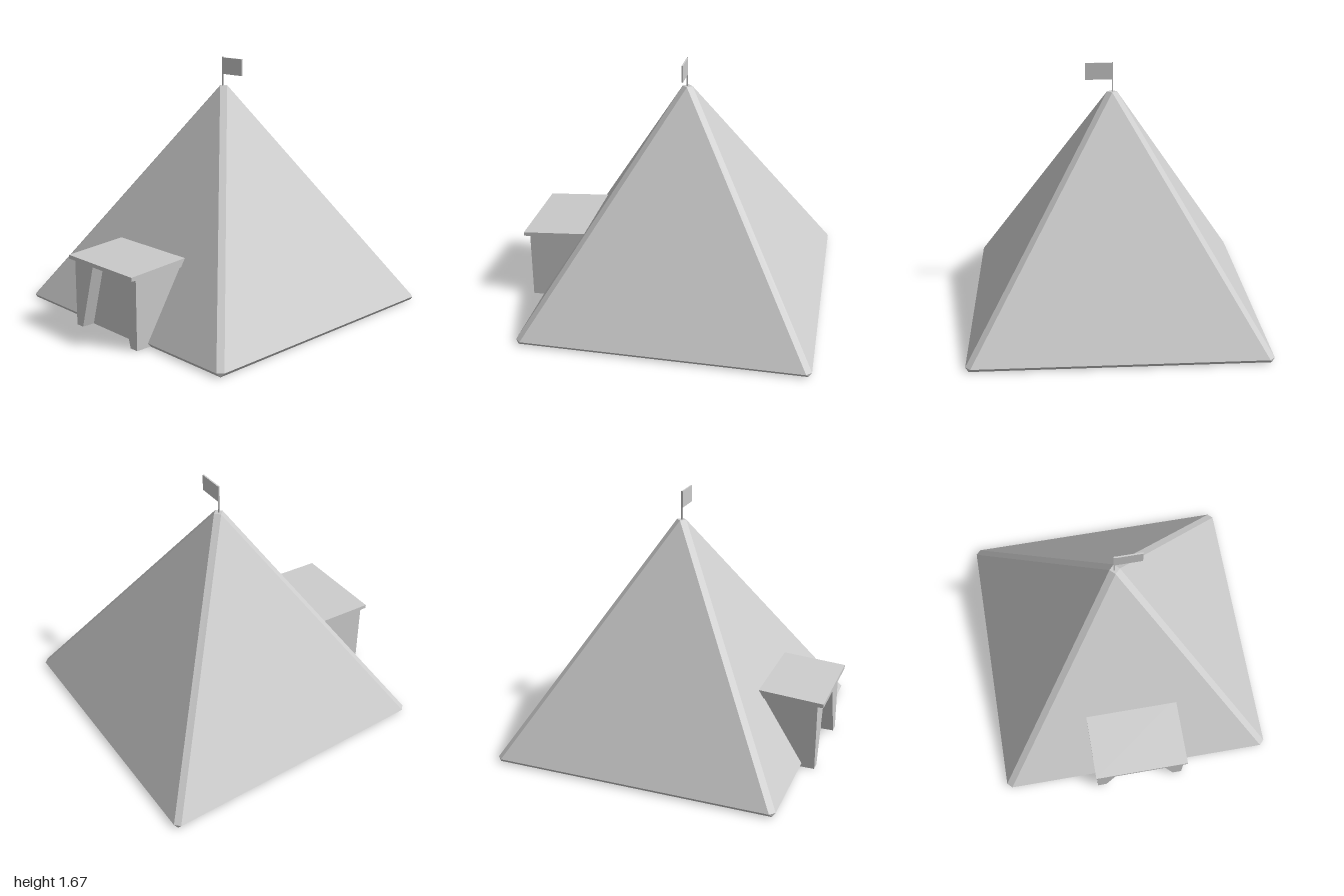
import * as THREE from 'three';
import { ConvexGeometry } from 'three/addons/geometries/ConvexGeometry.js';

const material = new THREE.MeshStandardMaterial({ color: 0xcccccc, flatShading: true });
const CENTRE_Z = -0.0625;

function add(parent, name, geometry, x = 0, y = 0, z = 0) {
  const mesh = new THREE.Mesh(geometry, material);
  mesh.name = name;
  mesh.position.set(x, y, z);
  parent.add(mesh);
  return mesh;
}

// Extrude a polygon given in x,y along +z
function prism(points, depth) {
  const shape = new THREE.Shape(points.map(([x, y]) => new THREE.Vector2(x, y)));
  return new THREE.ExtrudeGeometry(shape, { depth, bevelEnabled: false });
}

// Pyramid with bevelled ridges, bevelled foot and a small diamond tip
function tentBody() {
  const half = 0.9375, bevel = 0.0325, foot = 0.918, inner = half - bevel;
  const points = [];
  for (const s of [-1, 1]) {
    points.push(new THREE.Vector3(s * bevel, 1.48, 0), new THREE.Vector3(0, 1.48, s * bevel));
    for (const t of [-1, 1]) {
      points.push(
        new THREE.Vector3(s * half, 0.025, t * inner),
        new THREE.Vector3(s * inner, 0.025, t * half),
        new THREE.Vector3(s * foot, 0, t * foot)
      );
    }
  }
  return new ConvexGeometry(points);
}

export function createModel() {
  const model = new THREE.Group();
  model.name = 'tent';

  add(model, 'tentBody', tentBody(), 0, 0, CENTRE_Z);

  // Entrance porch: two tapered side walls, a recessed door and a canopy
  const porch = new THREE.Group();
  porch.name = 'porch';
  porch.position.x = 0.004;
  model.add(porch);

  const outer = 0.303, low = 0.242, high = 0.113, top = 0.45;
  for (const s of [-1, 1]) {
    const profile = [[s * low, 0], [s * outer, 0], [s * outer, top], [s * high, top]];
    add(porch, s > 0 ? 'leftWall' : 'rightWall', prism(profile, 0.36), 0, 0, 0.6);
  }
  add(porch, 'door', prism([[-low, 0], [low, 0], [high, top], [-high, top]], 0.275), 0, 0, 0.6);

  // Canopy profile in z,y, turned so its length runs across x
  const canopyProfile = [[-0.55, top], [-0.55, 0.505], [-1, 0.475], [-1, top]];
  const canopy = add(porch, 'canopy', prism(canopyProfile, 0.625), -0.3125);
  canopy.rotation.y = Math.PI / 2;

  // Flag on a thin pole at the tip
  const flag = new THREE.Group();
  flag.name = 'flag';
  flag.position.z = CENTRE_Z + 0.003;
  model.add(flag);
  add(flag, 'flagPole', new THREE.BoxGeometry(0.008, 0.2, 0.008), -0.003, 1.57, 0);
  add(flag, 'flagCloth', new THREE.BoxGeometry(0.173, 0.108, 0.01), 0.0865, 1.612, 0);

  return model;
}
